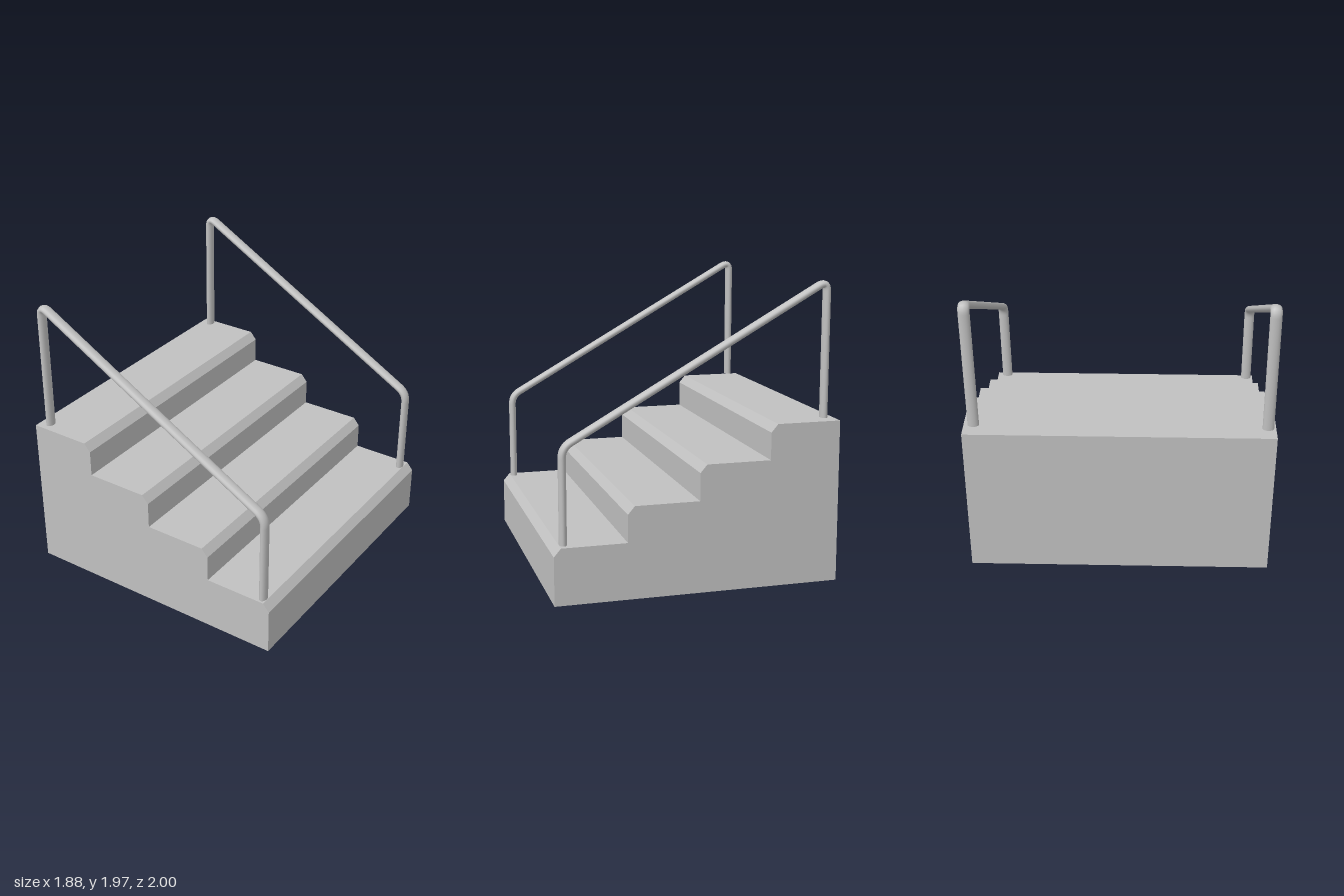
import * as THREE from 'three';

export function createModel() {
  const group = new THREE.Group();
  group.name = 'stairs';
  const concrete = new THREE.MeshStandardMaterial({ color: 0xc0c0c0 });
  concrete.name = 'light grey';

  // Solid flight of four steps with chamfered nosings
  const tops = [1.07, 0.838, 0.604, 0.37];
  const profile = new THREE.Shape();
  profile.moveTo(-0.94, 0);
  profile.lineTo(-0.94, tops[0]);
  tops.forEach((y, i) => {
    const x = -0.47 + i * 0.47;
    profile.lineTo(x - 0.045, y);
    profile.lineTo(x, y - 0.053);
    profile.lineTo(x, i < 3 ? tops[i + 1] : 0);
  });
  profile.closePath();
  const stepGeo = new THREE.ExtrudeGeometry(profile, { depth: 2, bevelEnabled: false });
  stepGeo.translate(0, 0, -1);
  const steps = new THREE.Mesh(stepGeo, concrete);
  steps.name = 'steps';
  group.add(steps);

  // Handrail path: two posts joined by a sloping bar with rounded bends
  const v = (x, y) => new THREE.Vector3(x, y, 0);
  const foot = v(-0.85, 1.085), high = v(-0.85, 1.963);
  const low = v(0.868, 0.985), end = v(0.868, 0.365);
  const toward = (a, b, d) => a.clone().add(b.clone().sub(a).setLength(d));
  const path = new THREE.CurvePath();
  const bends = [[high, foot, low, 0.065], [low, high, end, 0.065]];
  let last = foot;
  for (const [corner, from, to, d] of bends) {
    const start = toward(corner, from, d), stop = toward(corner, to, d);
    path.add(new THREE.LineCurve3(last, start));
    path.add(new THREE.QuadraticBezierCurve3(start, corner, stop));
    last = stop;
  }
  path.add(new THREE.LineCurve3(last, end));

  // Oval section: wider across the stairs than along them
  const radius = 0.025, stretch = 1.48;
  const railGeo = new THREE.TubeGeometry(path, 260, radius, 16, false);
  railGeo.scale(1, 1, stretch);
  const capGeo = new THREE.CircleGeometry(radius, 16);
  capGeo.scale(1, stretch, 1);
  capGeo.rotateX(Math.PI / 2);

  for (const [name, z] of [['frontHandrail', 0.953], ['backHandrail', -0.926]]) {
    const rail = new THREE.Group();
    rail.name = name;
    const bar = new THREE.Mesh(railGeo, concrete);
    bar.name = 'railTube';
    rail.add(bar);
    for (const p of [foot, end]) {
      const cap = new THREE.Mesh(capGeo, concrete);
      cap.name = 'postFoot';
      cap.position.copy(p);
      rail.add(cap);
    }
    rail.position.z = z;
    rail.rotation.x = -0.006; // slight lean
    group.add(rail);
  }
  return group;
}
